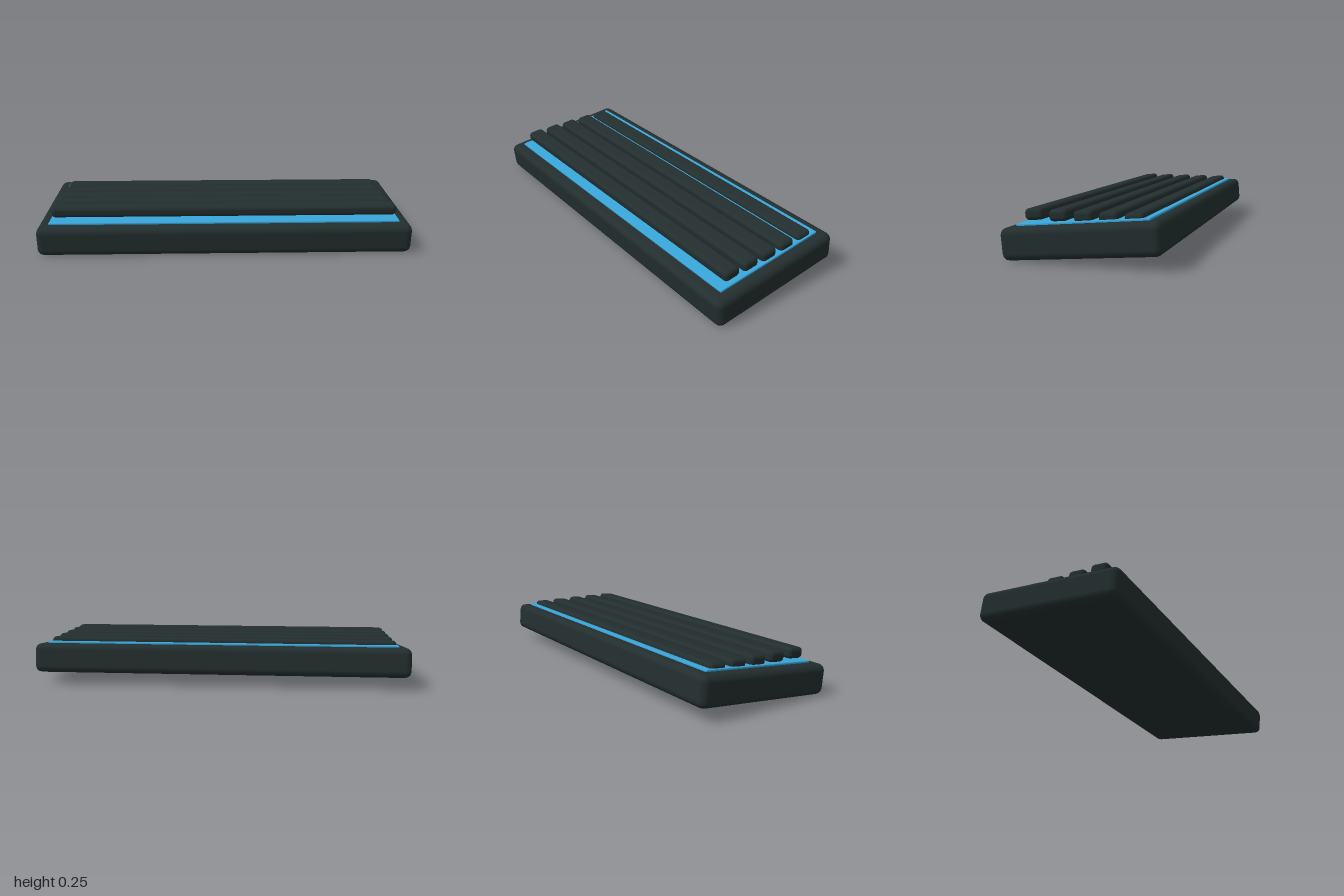
import * as THREE from 'three';
import { RoundedBoxGeometry } from 'three/addons/geometries/RoundedBoxGeometry.js';

const TILT = 0.09; // the whole board slopes up towards the back

export function createModel() {
  const group = new THREE.Group();
  const charcoal = new THREE.MeshStandardMaterial({ color: 0x232e2e });
  charcoal.name = 'charcoal';
  const blue = new THREE.MeshStandardMaterial({ color: 0x38a5da });
  blue.name = 'bright blue';

  // Tilted rounded block centred at (0, y, z)
  function block(name, material, [w, h, d], radius, y, z) {
    const mesh = new THREE.Mesh(new RoundedBoxGeometry(w, h, d, 2, radius), material);
    mesh.name = name;
    mesh.position.set(0, y, z);
    mesh.rotation.x = TILT;
    group.add(mesh);
  }

  // Case and the lit plate lying on its top
  block('case', charcoal, [2, 0.156, 0.775], 0.035, 0.11, 0);
  block('backlightPlate', blue, [1.88, 0.02, 0.653], 0.005, 0.188, 0.003);

  // Five full-width key rows, all at the same height
  for (let i = 0; i < 5; i++) {
    block('keyRow' + (i + 1), charcoal, [1.86, 0.056, 0.093], 0.02, 0.2155, 0.245 - i * 0.122);
  }

  return group;
}
